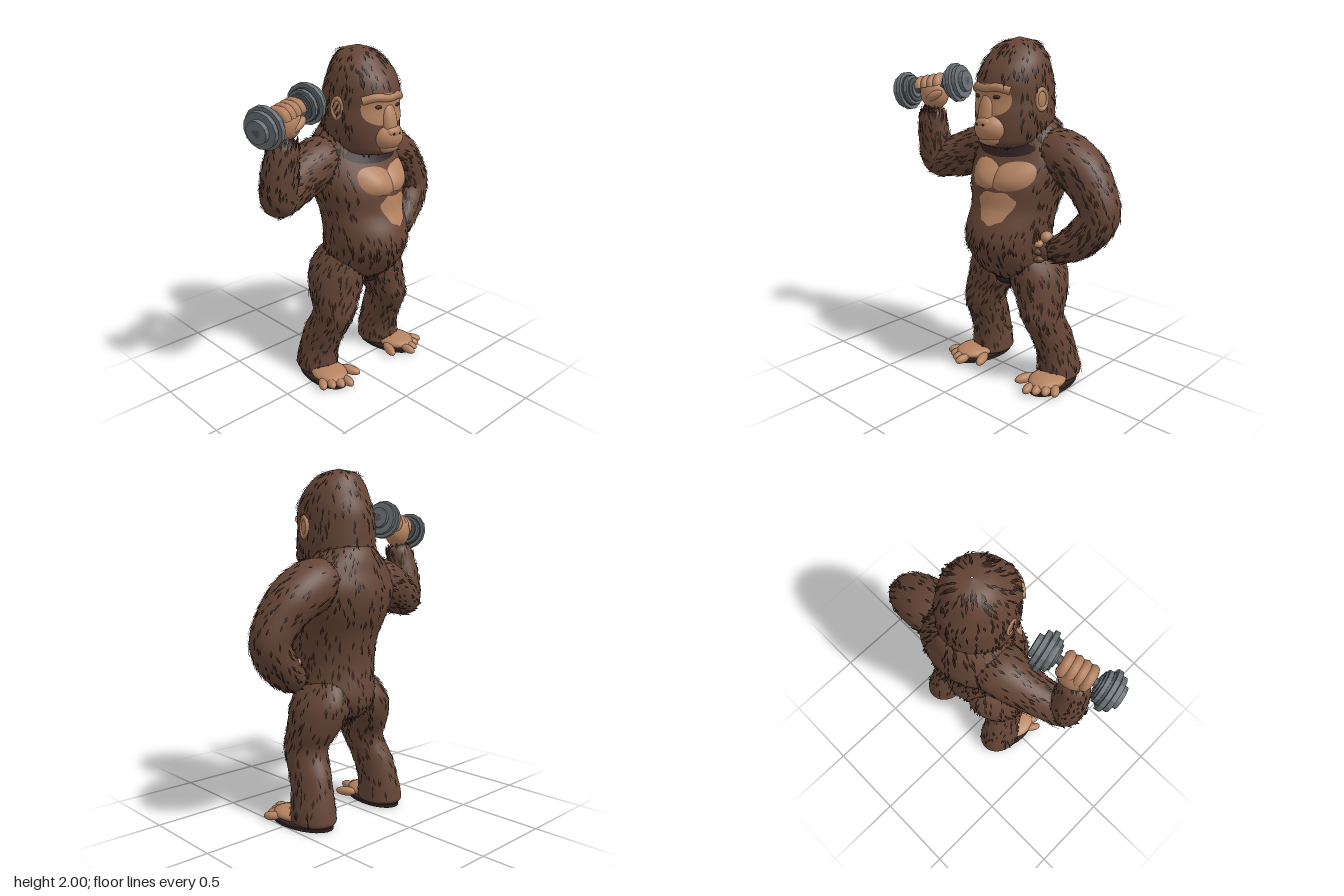
import * as THREE from 'three';

const V = (x, y, z) => new THREE.Vector3(x, y, z);
const mat = (name, color, side = THREE.FrontSide) => {
  const m = new THREE.MeshStandardMaterial({ color, side });
  m.name = name;
  return m;
};
const DS = THREE.DoubleSide;
const fur = mat('brown fur', 0x654536), tuftDark = mat('dark fur tufts', 0x35241c, DS);
const shade = mat('dark undercoat', 0x2d2120, DS), skin = mat('tan skin', 0xb58361, DS);
const iron = mat('grey iron', 0x6a7175), steel = mat('dark steel', 0x50565a);
const eyeMat = mat('dark eye', 0x3a281f);
iron.flatShading = true;

let seed = 7;
const rand = () => (seed = (seed * 16807) % 2147483647) / 2147483647;

// Tapered limb or trunk through stations [x, y, z, radiusA, radiusB]; fur runs along v.
function makeSurface(stations, level) {
  const path = new THREE.CatmullRomCurve3(stations.map(s => V(s[0], s[1], s[2])), false, 'catmullrom');
  const size = new THREE.CatmullRomCurve3(stations.map(s => V(s[3], s[4], 0)), false, 'catmullrom');
  const point = (u, v) => {
    const c = path.getPoint(v), r = size.getPoint(v);
    const T = level ? V(0, -1, 0) : path.getTangent(v);
    const B = V(0, 0, 1).addScaledVector(T, -T.z).normalize();
    const A = B.clone().cross(T), a = u * Math.PI * 2;
    return c.addScaledVector(A, Math.cos(a) * Math.max(r.x, 0.002)).addScaledVector(B, Math.sin(a) * Math.max(r.y, 0.002));
  };
  // Depth of the front face at (x, y), for level surfaces listed from top to bottom
  const front = (x, y) => {
    let lo = 0, hi = 1;
    for (let i = 0; i < 24; i++) {
      const m = (lo + hi) / 2;
      if (path.getPoint(m).y > y) lo = m; else hi = m;
    }
    const c = path.getPoint(lo), r = size.getPoint(lo);
    return c.z + r.y * Math.sqrt(Math.max(0, 1 - ((x - c.x) / r.x) ** 2));
  };
  return { point, front };
}

function buildGeometry(pos, idx, normals) {
  const g = new THREE.BufferGeometry();
  g.setAttribute('position', new THREE.Float32BufferAttribute(pos, 3));
  if (idx) g.setIndex(idx);
  if (normals) g.setAttribute('normal', new THREE.Float32BufferAttribute(normals, 3));
  else g.computeVertexNormals();
  return g;
}

function skinOf(surface, nu = 40, nv = 56) {
  const pos = [], idx = [];
  for (let i = 0; i <= nv; i++) for (let j = 0; j < nu; j++) {
    pos.push(...surface.point(j / nu, i / nv).toArray());
    if (i === nv) continue;
    const a = i * nu + j, b = i * nu + (j + 1) % nu;
    idx.push(a, b, a + nu, b, b + nu, a + nu);
  }
  return buildGeometry(pos, idx);
}

// Leaf-shaped locks scattered over a surface, lifted at the tip and sparser on the back
function tuftsOf(surface, count, bare) {
  const pos = [], nor = [];
  for (let k = 0; k < count; k++) {
    const u = rand(), v = 0.05 + rand() * 0.9, len = 0.035 + rand() * 0.035, w = 0.005 + rand() * 0.004;
    const p = surface.point(u, v);
    if (bare(p)) continue;
    const side = surface.point(u + 0.01, v).sub(p).normalize();
    const along = surface.point(u, v + 0.01).sub(p).normalize();
    const n = side.clone().cross(along).normalize();
    if (n.z < -0.4 && rand() < 0.4) continue;
    along.addScaledVector(side, (rand() - 0.5) * 0.5).normalize();
    const root = p.clone().addScaledVector(n, 0.002);
    const mid = p.clone().addScaledVector(along, len * 0.45).addScaledVector(n, 0.005);
    const tip = p.clone().addScaledVector(along, len).addScaledVector(n, 0.008);
    const l = mid.clone().addScaledVector(side, -w), r = mid.clone().addScaledVector(side, w);
    for (const q of [root, r, tip, root, tip, l]) { pos.push(...q.toArray()); nor.push(...n.toArray()); }
  }
  return buildGeometry(pos, null, nor);
}

// Flat colour lying on the front of a surface; outline(angle) gives [x, y] offsets
function patchOf(surface, cx, cy, outline, bulge = 0) {
  const pos = [], idx = [], nr = 8, na = 40;
  for (let i = 0; i <= nr; i++) for (let j = 0; j < na; j++) {
    const [ox, oy] = outline(j / na * Math.PI * 2), r = i / nr;
    const x = cx + ox * r, y = cy + oy * r;
    pos.push(x, y, surface.front(x, y) + 0.005 + bulge * (1 - r * r));
    if (i === nr) continue;
    const a = i * na + j, b = i * na + (j + 1) % na;
    idx.push(a, a + na, b + na, a, b + na, b);
  }
  return buildGeometry(pos, idx);
}

const oval = (rx, ry, n = 1) => a => {
  const f = t => Math.sign(t) * Math.abs(t) ** n;
  return [rx * f(Math.cos(a)), ry * f(Math.sin(a))];
};

export function createModel() {
  const model = new THREE.Group();
  const add = (name, geo, material, parent = model) => {
    const m = new THREE.Mesh(geo, material);
    m.name = name;
    parent.add(m);
    return m;
  };
  const blob = (name, material, p, s, parent, rot = [0, 0, 0]) => {
    const m = add(name, new THREE.SphereGeometry(1, 20, 14), material, parent);
    m.position.set(...p); m.scale.set(...s); m.rotation.set(...rot);
    return m;
  };
  const furry = (name, stations, level, count, bare = () => false) => {
    const s = makeSurface(stations, level);
    add(name, skinOf(s), fur);
    add(name + 'Tufts', tuftsOf(s, count, bare), tuftDark);
    return s;
  };

  // Trunk, with bare chest and belly
  const torso = furry('torso', [
    [0.1, 1.62, -0.09, 0.06, 0.08], [0.1, 1.56, -0.09, 0.16, 0.155], [0.1, 1.5, -0.09, 0.22, 0.185],
    [0.1, 1.43, -0.09, 0.28, 0.2], [0.1, 1.32, -0.075, 0.32, 0.24], [0.1, 1.2, -0.035, 0.3, 0.262],
    [0.1, 1.07, 0, 0.262, 0.243], [0.095, 0.95, 0.04, 0.25, 0.26], [0.095, 0.85, 0.045, 0.243, 0.265],
    [0.1, 0.72, 0, 0.225, 0.24], [0.1, 0.64, -0.04, 0.16, 0.18], [0.1, 0.59, -0.06, 0.08, 0.1],
    [0.1, 0.585, -0.06, 0.01, 0.01],
  ], true, 1100, p => p.z > 0.08 && p.y > 0.97 && p.y < 1.45 && Math.abs(p.x - 0.12) < 0.21);
  for (const s of [-1, 1])
    add('chestSkin', patchOf(torso, 0.135 + s * 0.095, 1.258, a => {
      const [x, y] = oval(0.112, 0.078, 0.85)(a);
      return [x, y + s * x * 0.12];
    }, 0.03), skin);
  add('bellySkin', patchOf(torso, 0.15, 1.08, a => {
    const [x, y] = oval(0.105, 0.09, 0.8)(a);
    return [x * (1 + 0.38 * Math.sin(a)) * (1 + 0.07 * Math.sin(5 * a)), y * (1 + 0.06 * Math.sin(7 * a))];
  }, 0.004), skin);
  add('neckShade', patchOf(torso, 0.1, 1.4, oval(0.2, 0.05)), shade);
  blob('groinShade', shade, [0.1, 0.63, 0.01], [0.09, 0.06, 0.13]);

  // Head with a tall crest
  const head = furry('head', [
    [0.1, 1.995, -0.03, 0.004, 0.004], [0.1, 1.965, -0.03, 0.1, 0.11], [0.1, 1.9, -0.015, 0.165, 0.165],
    [0.1, 1.83, 0, 0.192, 0.207], [0.097, 1.75, 0, 0.205, 0.235], [0.095, 1.67, -0.005, 0.21, 0.235],
    [0.095, 1.58, 0, 0.213, 0.24], [0.095, 1.48, 0, 0.195, 0.24], [0.095, 1.415, 0.03, 0.145, 0.185],
    [0.095, 1.385, 0.05, 0.01, 0.02],
  ], true, 520, p => p.z > 0.1 && p.y > 1.42 && p.y < 1.78 && Math.abs(p.x - 0.09) < 0.17);

  // Face
  add('faceSkin', patchOf(head, 0.085, 1.67, oval(0.145, 0.088, 0.75)), skin);
  const brow = new THREE.CatmullRomCurve3([-0.05, 0.01, 0.085, 0.16, 0.22].map((x, i) =>
    V(x, 1.73 + [-0.012, 0.006, 0, 0.006, -0.012][i], head.front(x, 1.72) - 0.01)));
  add('brow', new THREE.TubeGeometry(brow, 24, 0.025, 10), skin);
  blob('noseBridge', skin, [0.09, 1.6, 0.232], [0.05, 0.11, 0.038], model, [-0.2, 0, 0]);
  blob('muzzle', skin, [0.1, 1.515, 0.2], [0.1, 0.085, 0.092], model, [0.1, 0, 0]);
  blob('nose', skin, [0.095, 1.545, 0.255], [0.055, 0.035, 0.036]);
  blob('chin', skin, [0.1, 1.455, 0.2], [0.075, 0.038, 0.07]);
  for (const s of [-1, 1]) {
    blob('eye', eyeMat, [0.088 + s * 0.065, 1.685, head.front(0.088 + s * 0.065, 1.685)], [0.026, 0.011, 0.012]);
    blob('nostril', eyeMat, [0.095 + s * 0.022, 1.54, 0.287], [0.008, 0.006, 0.004]);
    const ear = new THREE.Group();
    ear.name = s > 0 ? 'leftEar' : 'rightEar';
    ear.position.set(0.095 + s * (s > 0 ? 0.205 : 0.196), 1.67, 0.025);
    ear.rotation.y = s * (Math.PI / 2 - 0.25);
    model.add(ear);
    blob('earBowl', skin, [0, 0, 0], [0.038, 0.058, 0.016], ear);
    const rim = add('earRim', new THREE.TorusGeometry(0.036, 0.009, 8, 20), skin, ear);
    rim.scale.y = 1.5; rim.position.z = 0.01;
  }

  // Raised right arm
  furry('raisedArm', [
    [-0.02, 1.38, -0.1, 0.1, 0.12], [-0.15, 1.355, -0.09, 0.145, 0.15], [-0.3, 1.305, -0.06, 0.14, 0.125],
    [-0.42, 1.265, -0.02, 0.123, 0.11], [-0.525, 1.24, 0.02, 0.102, 0.1], [-0.535, 1.35, 0.04, 0.102, 0.1],
    [-0.53, 1.46, 0.06, 0.092, 0.09], [-0.515, 1.55, 0.07, 0.077, 0.07], [-0.51, 1.58, 0.075, 0.01, 0.01],
  ], false, 560);

  // Left arm bent to the hip
  furry('hipArm', [
    [0.18, 1.38, -0.1, 0.1, 0.12], [0.34, 1.36, -0.1, 0.145, 0.155], [0.49, 1.285, -0.1, 0.14, 0.15],
    [0.585, 1.18, -0.09, 0.125, 0.125], [0.635, 1.06, -0.08, 0.112, 0.11], [0.575, 0.95, -0.06, 0.108, 0.11],
    [0.48, 0.87, -0.02, 0.092, 0.095], [0.4, 0.835, 0.01, 0.072, 0.075], [0.35, 0.825, 0.025, 0.01, 0.01],
  ], false, 560);
  blob('hipPalm', fur, [0.365, 0.84, 0.03], [0.045, 0.07, 0.06]);
  blob('hipThumb', skin, [0.37, 0.915, 0.045], [0.034, 0.032, 0.04], model, [0, 0.4, 0.2]);
  for (let i = 0; i < 3; i++)
    blob('hipFinger', i ? fur : skin, [0.345, 0.875 - i * 0.045, 0.075], [0.028, 0.021, 0.035], model, [0, -0.5, 0]);

  // Dumbbell and gripping fist; local x runs along the bar
  const grip = new THREE.Group();
  grip.name = 'dumbbellAndFist';
  grip.position.set(-0.505, 1.695, 0.08);
  grip.quaternion.setFromUnitVectors(V(1, 0, 0), V(0.38, 0.07, -0.1).normalize());
  model.add(grip);
  const disc = (name, x, r, h, material) => {
    const m = add(name, new THREE.CylinderGeometry(r, r, h, 14), material, grip);
    m.rotation.z = Math.PI / 2; m.position.x = x;
  };
  disc('bar', 0, 0.024, 0.5, steel);
  for (const s of [-1, 1]) {
    disc('innerCollar', s * 0.122, 0.05, 0.02, iron);
    [[0.145, 0.09], [0.178, 0.115], [0.21, 0.098], [0.237, 0.062]].forEach(([x, r]) => {
      disc('weightPlate', s * x, r, 0.026, iron);
      disc('plateGap', s * (x - 0.015), r * 0.82, 0.02, steel);
    });
  }
  blob('fistPalm', skin, [0, -0.04, -0.012], [0.092, 0.095, 0.075], grip);
  for (let i = 0; i < 4; i++) {
    const f = add('fistFinger', new THREE.TorusGeometry(0.048, 0.028, 8, 18, Math.PI * 1.3), skin, grip);
    f.position.x = -0.066 + i * 0.044;
    f.rotation.y = -Math.PI / 2;
  }
  blob('fistThumb', skin, [0.03, -0.055, 0.045], [0.06, 0.026, 0.028], grip, [0, 0, 0.3]);

  // Legs and feet, mirrored about the body's middle
  for (const s of [-1, 1]) {
    const X = o => 0.095 + s * o;
    furry(s > 0 ? 'leftLeg' : 'rightLeg', [
      [0.12, 0.86, -0.02, 0.05, 0.08], [0.13, 0.79, -0.02, 0.11, 0.16], [0.155, 0.69, -0.035, 0.15, 0.19],
      [0.172, 0.6, -0.03, 0.158, 0.182], [0.2, 0.52, -0.015, 0.138, 0.165], [0.228, 0.42, 0.01, 0.11, 0.145],
      [0.25, 0.3, -0.045, 0.105, 0.143], [0.262, 0.18, -0.085, 0.107, 0.137], [0.27, 0.08, -0.1, 0.12, 0.14],
      [0.27, 0.025, -0.1, 0.11, 0.132], [0.27, 0.016, -0.1, 0.01, 0.01],
    ].map(([o, ...r]) => [X(o), ...r]), true, 480, p => p.y < 0.085);
    const foot = new THREE.Group();
    foot.name = s > 0 ? 'leftFoot' : 'rightFoot';
    foot.position.set(X(0.29), 0, 0);
    foot.rotation.y = s * 0.14;
    model.add(foot);
    blob('instep', skin, [0, 0.045, 0.04], [0.105, 0.04, 0.13], foot);
    for (let i = 0; i < 4; i++)
      blob('toe', skin, [s * (-0.045 + i * 0.048), 0.033, 0.18 - i * 0.02], [0.027, 0.026, 0.05], foot, [0.1, s * i * 0.14, 0]);
    blob('bigToe', skin, [s * -0.125, 0.034, 0.085], [0.03, 0.028, 0.07], foot, [0.08, -s * 0.5, 0]);
    // Dark sole under the heel and toes
    const sole = add('sole', new THREE.CylinderGeometry(1, 1, 0.018, 28), shade, foot);
    sole.position.set(0, 0.009, -0.025);
    sole.scale.set(0.115, 1, 0.21);
  }
  return model;
}
